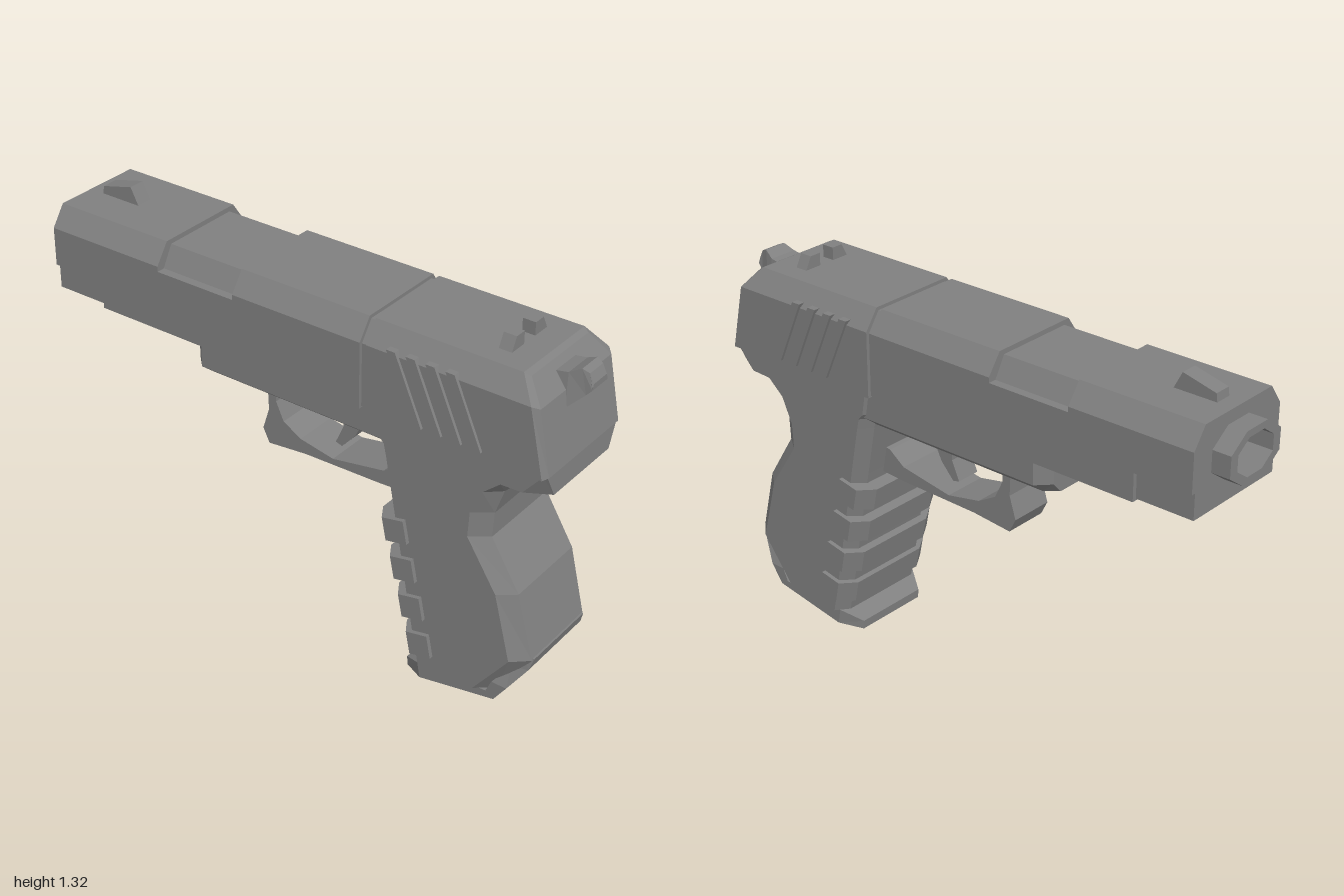
import * as THREE from 'three';

const gunmetal = new THREE.MeshStandardMaterial({ color: 0x808080, flatShading: true });
gunmetal.name = 'gunmetal grey';

// Closed loft through rings; each ring is the +x half, mirrored to -x.
function loft(halfRings) {
  const rings = halfRings.map(h => [...h, ...h.slice().reverse().map(([x, y, z]) => [-x, y, z])]);
  const n = rings[0].length, tris = [];
  const quad = (a, b, c, d) => tris.push(a, b, c, a, c, d);
  for (let r = 0; r < rings.length - 1; r++) {
    for (let i = 0; i < n; i++) {
      const j = (i + 1) % n;
      quad(rings[r][i], rings[r][j], rings[r + 1][j], rings[r + 1][i]);
    }
  }
  const first = rings[0], last = rings[rings.length - 1];
  for (let i = 0; i < n / 2 - 1; i++) {
    quad(first[n - 1 - i], first[n - 2 - i], first[i + 1], first[i]);
    quad(last[i], last[i + 1], last[n - 2 - i], last[n - 1 - i]);
  }
  // Turn the faces outward if the enclosed volume is negative
  let volume = 0;
  const a = new THREE.Vector3(), b = new THREE.Vector3(), c = new THREE.Vector3();
  for (let i = 0; i < tris.length; i += 3) {
    volume += a.fromArray(tris[i]).dot(b.fromArray(tris[i + 1]).cross(c.fromArray(tris[i + 2])));
  }
  if (volume < 0) tris.reverse();
  const geo = new THREE.BufferGeometry();
  geo.setAttribute('position', new THREE.Float32BufferAttribute(tris.flat(), 3));
  geo.computeVertexNormals();
  return geo;
}

const toShape = pts => new THREE.Shape(pts.map(p => new THREE.Vector2(...p)));

// Side outline in (z, y), extruded across x from x0 to x1
function sidePlate(pts, x0, x1) {
  const geo = new THREE.ExtrudeGeometry(toShape(pts), { depth: x1 - x0, bevelEnabled: false });
  return geo.rotateY(-Math.PI / 2).translate(x1, 0, 0);
}

// Cross-section in (x, y) given as its +x half, extruded from z0 to z1
function along(half, z0, z1, hole) {
  const shape = toShape([...half, ...half.slice().reverse().map(([x, y]) => [-x, y])]);
  if (hole) shape.holes.push(new THREE.Path(hole));
  return new THREE.ExtrudeGeometry(shape, { depth: z1 - z0, bevelEnabled: false }).translate(0, 0, z0);
}

// Flat-topped octagon around the bore axis
function octagon(rx, ry) {
  return Array.from({ length: 8 }, (_, i) => {
    const t = (i + 0.5) * Math.PI / 4, k = Math.cos(Math.PI / 8);
    return new THREE.Vector2(rx * Math.cos(t) / k, 1.128 + ry * Math.sin(t) / k);
  });
}

export function createModel() {
  const model = new THREE.Group();
  const add = (name, geo) => {
    const mesh = new THREE.Mesh(geo, gunmetal);
    mesh.name = name;
    model.add(mesh);
    return mesh;
  };

  // Slide, front to back
  const bore = octagon(0.09, 0.064);
  const section = [[0.215, 0.96], [0.215, 1.19], [0.165, 1.26]];
  add('slideNose', along([[0.2, 0.966], [0.2, 1.055], [0.215, 1.055], [0.215, 1.19], [0.165, 1.26]], -0.935, -0.73, bore));
  add('slideFront', along(section, -0.73, -0.485));
  add('ejectionPort', along([[0.215, 0.96], [0.215, 1.172], [0.185, 1.172], [0.145, 1.243]], -0.485, -0.18));
  add('slideMiddle', along(section, -0.18, 0.308));
  add('slideGroove', along([[0.203, 0.965], [0.203, 1.183], [0.157, 1.248]], 0.308, 0.33));
  add('slideRear', loft([
    section.map(([x, y]) => [x, y, 0.33]),
    [[0.215, 0.96, 0.955], [0.215, 1.19, 0.905], [0.165, 1.26, 0.845]],
    [[0.195, 0.965, 0.968], [0.195, 1.18, 0.925], [0.155, 1.25, 0.865]],
  ]));

  // Muzzle ring
  const ring = new THREE.Shape(octagon(0.125, 0.088));
  ring.holes.push(new THREE.Path(bore));
  add('muzzle', new THREE.ExtrudeGeometry(ring, { depth: 0.066, bevelEnabled: false }).translate(0, 0, -1));

  // Slanted slide serrations on both sides
  for (let i = 0; i < 4; i++) {
    const z = 0.62 - 0.07 * i;
    const outline = [[z, 1.208], [z + 0.1, 0.98], [z + 0.132, 0.98], [z + 0.032, 1.208]];
    add('serrationLeft', sidePlate(outline, 0.195, 0.225));
    add('serrationRight', sidePlate(outline, -0.225, -0.195));
  }

  // Sights
  add('frontSight', sidePlate([[-0.72, 1.25], [-0.755, 1.318], [-0.875, 1.288], [-0.88, 1.25]], -0.03, 0.03));
  for (const s of [-1, 1]) {
    const outer = 0.1 * s, inner = 0.03 * s;
    const shape = toShape([[inner, 1.25], [outer, 1.25], [outer * 0.72, 1.304], [inner, 1.304]]);
    add('rearSight', new THREE.ExtrudeGeometry(shape, { depth: 0.045, bevelEnabled: false }).translate(0, 0, 0.715));
  }

  // Hammer
  add('hammer', loft([
    [[0.068, 1.12, 0.84], [0.055, 1.22, 0.84]],
    [[0.068, 1.125, 0.93], [0.052, 1.235, 0.925]],
    [[0.045, 1.175, 0.982], [0.042, 1.255, 0.962]],
    [[0.042, 1.195, 1.0], [0.036, 1.245, 0.985]],
    [[0.042, 1.2, 1.0], [0.036, 1.215, 1.0]],
  ]));

  // Frame under the slide
  const rail = (z, k) => [[0.19 * k, 0.965, z], [0.19 * k, 0.867, z], [0.145 * k, 0.83, z]];
  add('dustCover', loft([rail(-0.38, 0.76), rail(-0.335, 1), rail(0.4, 1)]));

  // Grip: rows of back z, back y, front z, front y, rear chamfer depth, back half width
  const rows = [
    [0.962, 0.965, 0.325, 0.965, 0.01, 0.195],
    [0.965, 0.885, 0.34, 0.88, 0.08, 0.155],
    [0.85, 0.882, 0.357, 0.86, 0.04, 0.155],
    [0.8, 0.83, 0.366, 0.82, 0.05, 0.155],
    [0.77, 0.74, 0.383, 0.73, 0.06, 0.155],
    [0.765, 0.65, 0.4, 0.64, 0.06, 0.155],
    [0.87, 0.48, 0.432, 0.47, 0.055, 0.155],
    [0.93, 0.25, 0.475, 0.235, 0.055, 0.15],
    [0.81, 0.085, 0.508, 0.07, 0.06, 0.15],
  ];
  add('grip', loft(rows.map(([zb, yb, zf, yf, c, xb]) =>
    [[xb, yb, zb], [0.2, yb, zb - c], [0.2, yf, zf + 0.035], [0.155, yf, zf]])));

  // Base plate wrapping the heel of the grip: half width, outer (z, y), inner (z, y)
  const plate = [
    [0.145, 0.935, 0.255, 0.9, 0.255],
    [0.155, 0.922, 0.212, 0.86, 0.2],
    [0.185, 0.865, 0.13, 0.81, 0.13],
    [0.185, 0.82, 0.065, 0.79, 0.085],
    [0.185, 0.54, 0.014, 0.53, 0.07],
    [0.14, 0.462, 0.0, 0.46, 0.032],
  ];
  add('basePlate', loft(plate.map(([w, zo, yo, zi, yi]) => [[w, yo, zo], [w, yi, zi]])));

  // Tilted finger ribs wrapped around the front of the grip
  const ribPlan = [[0.155, -0.058], [0.215, -0.02], [0.215, 0.06]];
  for (let i = 0; i < 4; i++) {
    const cy = 0.564 - 0.133 * i, cz = 0.428 + 0.034 * i;
    add('gripRib', loft([-0.041, 0.041].map(v =>
      ribPlan.map(([x, u]) => [x, cy + 0.2 * u + 0.98 * v, cz + 0.98 * u - 0.2 * v]))));
  }

  // Trigger and its guard
  add('triggerGuard', sidePlate([
    [0.42, 0.62], [0.3, 0.612], [0, 0.605], [-0.1, 0.595], [-0.15, 0.59], [-0.175, 0.64],
    [-0.15, 0.72], [-0.155, 0.84], [-0.12, 0.84], [-0.12, 0.76], [-0.09, 0.695],
    [-0.02, 0.655], [0.11, 0.63], [0.31, 0.665], [0.37, 0.71], [0.42, 0.72],
  ], -0.08, 0.08));
  add('trigger', sidePlate([
    [0.28, 0.84], [0.272, 0.805], [0.24, 0.785], [0.2, 0.78], [0.17, 0.72], [0.12, 0.665],
    [0.095, 0.672], [0.125, 0.74], [0.12, 0.84],
  ], -0.045, 0.045));

  return model;
}
